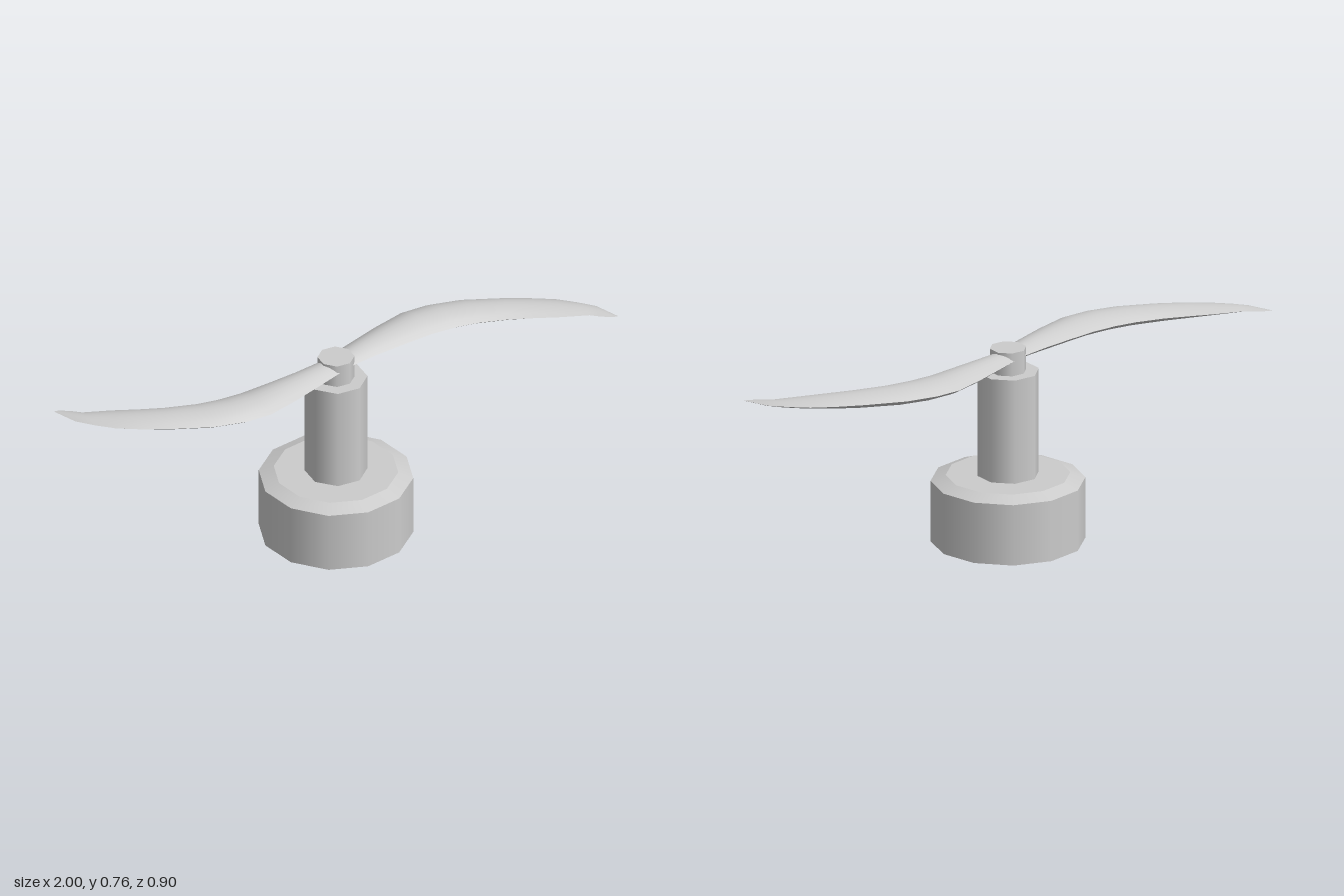
import * as THREE from 'three';

const material = new THREE.MeshStandardMaterial({ color: 0xcccccc });
const bladeY = 0.725;

// Upright faceted drum between two heights
function drum(name, rTop, rBottom, y0, y1, sides, turn) {
  const geometry = new THREE.CylinderGeometry(rTop, rBottom, y1 - y0, sides);
  geometry.rotateY(THREE.MathUtils.degToRad(turn));
  const mesh = new THREE.Mesh(geometry, material);
  mesh.name = name;
  mesh.position.y = (y0 + y1) / 2;
  return mesh;
}

// Blade stations: leading edge x, z, trailing edge x, z, half thickness
const stations = [
  [0.03, -0.058, 0.03, 0.05, 0.022],
  [0.14, -0.073, 0.15, 0.055, 0.029],
  [0.27, -0.09, 0.27, 0.067, 0.034],
  [0.41, -0.1, 0.40, 0.083, 0.036],
  [0.51, -0.078, 0.50, 0.108, 0.036],
  [0.626, -0.024, 0.58, 0.14, 0.034],
  [0.755, 0.072, 0.68, 0.197, 0.030],
  [0.84, 0.145, 0.76, 0.256, 0.025],
  [0.904, 0.21, 0.834, 0.313, 0.019],
  [0.95, 0.28, 0.925, 0.375, 0.012],
  [0.985, 0.345, 0.95, 0.41, 0.008],
  [1.0, 0.45, 0.982, 0.443, 0.0],
];

// One face of the lens-shaped blade; side is +1 for top, -1 for underside
function bladeFace(side) {
  const across = 8, positions = [], index = [];
  stations.forEach(([x0, z0, x1, z1, h], i) => {
    for (let j = 0; j <= across; j++) {
      const t = j / across, u = 2 * t - 1;
      positions.push(x0 + (x1 - x0) * t, side * h * (1 - u * u), z0 + (z1 - z0) * t);
      if (i === stations.length - 1 || j === across) continue;
      const a = i * (across + 1) + j, b = a + 1, c = a + across + 1, d = c + 1;
      if (side > 0) index.push(a, b, c, b, d, c);
      else index.push(a, c, b, b, c, d);
    }
  });
  const geometry = new THREE.BufferGeometry();
  geometry.setAttribute('position', new THREE.Float32BufferAttribute(positions, 3));
  geometry.setIndex(index);
  geometry.computeVertexNormals();
  return geometry;
}

export function createModel() {
  const model = new THREE.Group();
  model.name = 'rotor';

  // Motor base with a bevelled top
  model.add(drum('base', 0.288, 0.288, 0, 0.238, 12, 13));
  model.add(drum('baseBevel', 0.232, 0.288, 0.238, 0.26, 12, 13));

  // Post and hub
  model.add(drum('post', 0.117, 0.117, 0.26, 0.667, 8, 7));
  model.add(drum('hub', 0.069, 0.069, 0.667, 0.757, 8, 7));

  // Two curved blades, half a turn apart
  const top = bladeFace(1), underside = bladeFace(-1);
  for (const [name, turn] of [['leftBlade', 0], ['rightBlade', Math.PI]]) {
    const blade = new THREE.Group();
    blade.name = name;
    blade.add(new THREE.Mesh(top, material), new THREE.Mesh(underside, material));
    blade.children[0].name = 'bladeTop';
    blade.children[1].name = 'bladeUnderside';
    blade.position.y = bladeY;
    blade.rotation.y = turn;
    model.add(blade);
  }
  return model;
}
